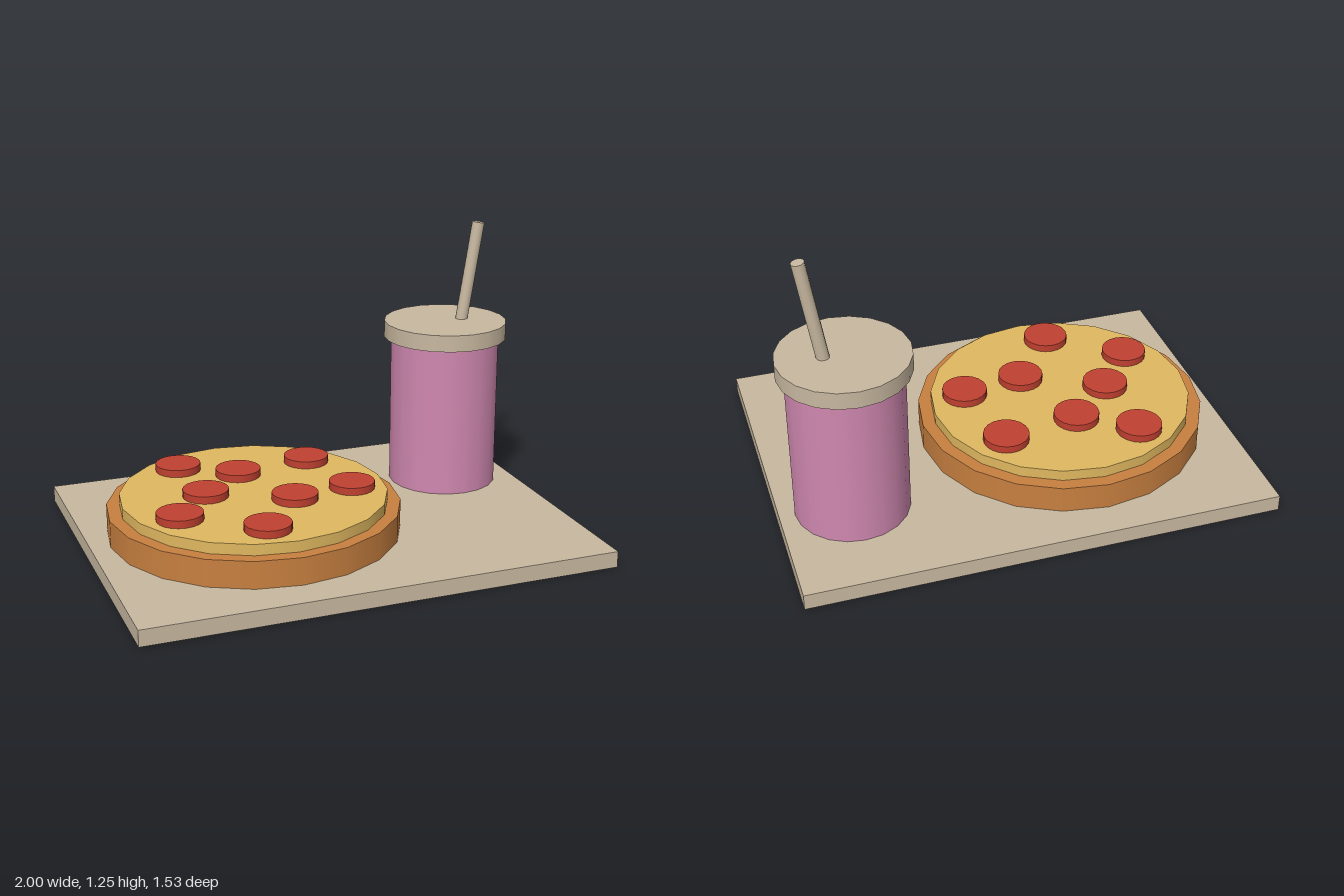
import * as THREE from 'three';

function material(name, color) {
  const m = new THREE.MeshStandardMaterial({ color });
  m.name = name;
  return m;
}

export function createModel() {
  const group = new THREE.Group();
  group.name = 'pizzaTray';
  const beige = material('beige', 0xc8b8a0);
  const crustBrown = material('crustBrown', 0xc88040);
  const cheeseYellow = material('cheeseYellow', 0xe0b860);
  const meatRed = material('meatRed', 0xc04030);
  const cupPink = material('cupPink', 0xd088b0);

  function add(name, geometry, mat, x, y, z, parent = group) {
    const mesh = new THREE.Mesh(geometry, mat);
    mesh.name = name;
    mesh.position.set(x, y, z);
    parent.add(mesh);
    return mesh;
  }
  // Upright disc spanning y0 to y1
  function disc(name, r, y0, y1, mat, x, z, parent) {
    return add(name, new THREE.CylinderGeometry(r, r, y1 - y0, 20), mat, x, (y0 + y1) / 2, z, parent);
  }

  // Tray, with the food and cup bases showing just flush underneath
  add('tray', new THREE.BoxGeometry(2, 0.069, 1.532), beige, 0, 0.0365, 0);

  // Pizza
  const pizza = new THREE.Group();
  pizza.name = 'pizza';
  group.add(pizza);
  disc('crust', 0.617, 0, 0.187, crustBrown, -0.302, 0, pizza);
  disc('cheese', 0.562, 0.18, 0.234, cheeseYellow, -0.302, 0, pizza);
  const slices = [
    [-0.53, -0.355], [-0.305, -0.205], [0.025, -0.258], [-0.505, -0.02],
    [-0.675, 0.19], [-0.17, 0.145], [0.098, 0.105], [-0.378, 0.41],
  ];
  for (const [x, z] of slices) disc('pepperoni', 0.097, 0.225, 0.266, meatRed, x, z, pizza);

  // Drink
  const drink = new THREE.Group();
  drink.name = 'drink';
  group.add(drink);
  disc('cup', 0.24, 0, 0.74, cupPink, 0.695, -0.28, drink);
  disc('lid', 0.271, 0.737, 0.81, beige, 0.695, -0.28, drink);

  // Straw leaning to the side
  const straw = add('straw', new THREE.CylinderGeometry(0.027, 0.027, 0.46, 12), beige, 0.808, 1.014, -0.28, drink);
  straw.rotation.z = -0.16;

  return group;
}
